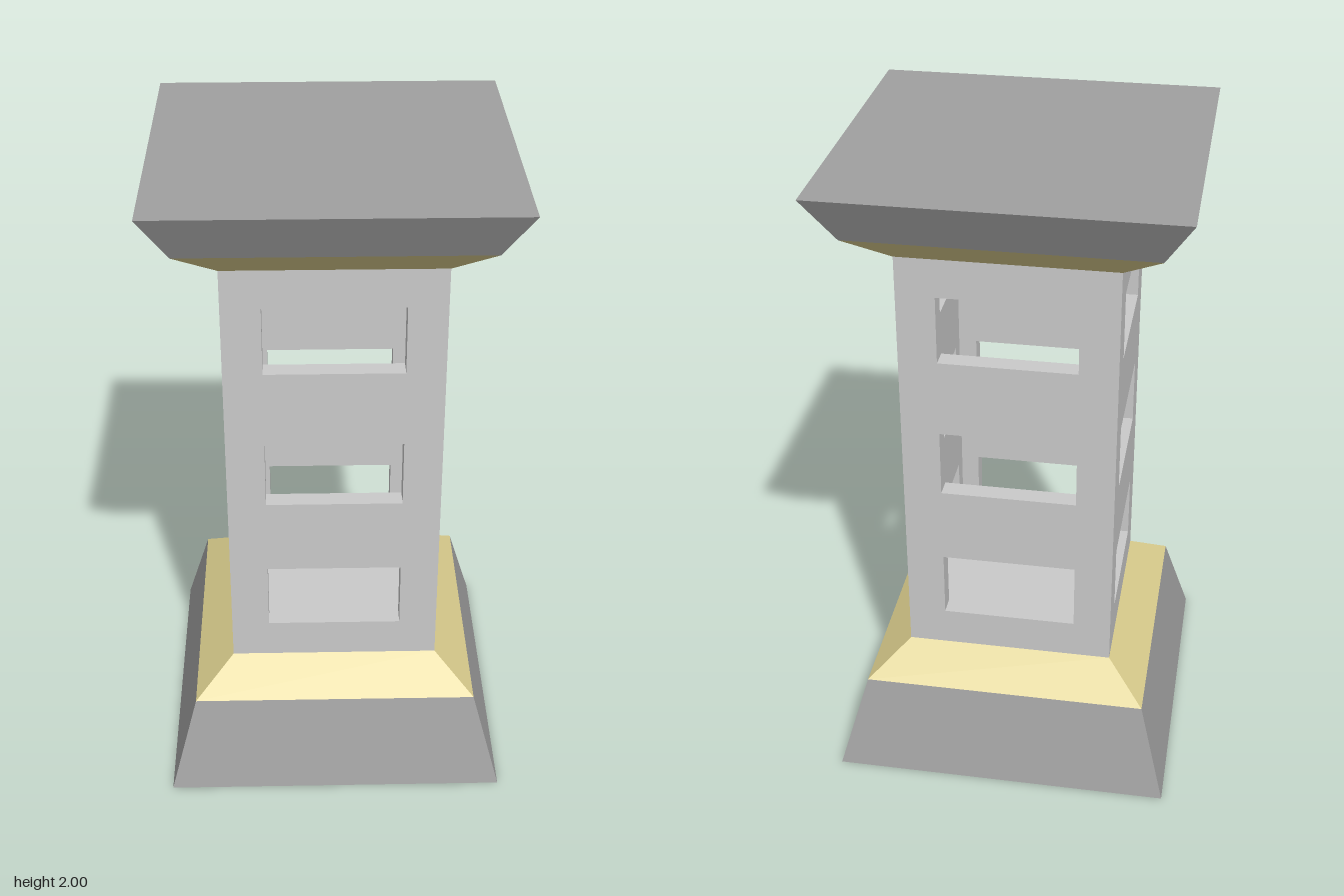
import * as THREE from 'three';

const HALF = 0.325;      // half width of the shaft
const WALL = 0.06;       // wall thickness
const INNER = HALF - WALL;
const BOTTOM = 0.39, TOP = 1.757;
const WINDOWS = [[0.513, 0.727], [0.969, 1.182], [1.424, 1.637]];
const WINDOW_HALF = 0.208;

const material = (name, color) => {
  const m = new THREE.MeshStandardMaterial({ color });
  m.name = name;
  return m;
};

// Square frustum with flat sides, given half widths at both ends
function frustum(name, lowHalf, highHalf, y0, y1, mat) {
  const geo = new THREE.CylinderGeometry(highHalf * Math.SQRT2, lowHalf * Math.SQRT2, y1 - y0, 4)
    .rotateY(Math.PI / 4).translate(0, (y0 + y1) / 2, 0).toNonIndexed();
  geo.computeVertexNormals();
  const mesh = new THREE.Mesh(geo, mat);
  mesh.name = name;
  return mesh;
}

const rectangle = (path, w, y0, y1) =>
  path.moveTo(-w, y0).lineTo(w, y0).lineTo(w, y1).lineTo(-w, y1).closePath();

// Wall with three windows, mitred at the corners
function wallGeometry() {
  const shape = rectangle(new THREE.Shape(), HALF, BOTTOM, TOP);
  for (const [y0, y1] of WINDOWS) shape.holes.push(rectangle(new THREE.Path(), WINDOW_HALF, y0, y1));
  const geo = new THREE.ExtrudeGeometry(shape, { depth: WALL, bevelEnabled: false });
  geo.translate(0, 0, INNER);
  const p = geo.attributes.position;
  for (let i = 0; i < p.count; i++) {
    if (p.getZ(i) < INNER + 0.01 && Math.abs(p.getX(i)) > HALF - 0.01) {
      p.setX(i, Math.sign(p.getX(i)) * INNER);
    }
  }
  geo.computeVertexNormals();
  return geo;
}

export function createModel() {
  const stone = material('dark stone', 0xa0a0a0);
  const pale = material('pale stone', 0xcacaca);
  const sand = material('sand trim', 0xd9cc8c);
  const model = new THREE.Group();
  model.name = 'tower';

  // Base and flared top
  model.add(
    frustum('base', 0.528, 0.445, 0, 0.295, stone),
    frustum('baseTrim', 0.445, HALF, 0.295, BOTTOM, sand),
    frustum('topTrim', HALF, 0.445, TOP, 1.853, sand),
    frustum('topSlab', 0.445, 0.528, 1.853, 2, stone),
  );

  // Hollow shaft
  const shaft = new THREE.Group();
  shaft.name = 'shaft';
  const wall = wallGeometry();
  ['front', 'left', 'back', 'right'].forEach((side, i) => {
    const mesh = new THREE.Mesh(wall, pale);
    mesh.name = side + 'Wall';
    mesh.rotation.y = i * Math.PI / 2;
    shaft.add(mesh);
  });

  // Floor and ceiling level with the lowest sill and highest lintel
  shaft.add(
    frustum('floor', INNER, INNER, BOTTOM, WINDOWS[0][0], pale),
    frustum('ceiling', INNER, INNER, WINDOWS[2][1], TOP, pale),
  );
  model.add(shaft);
  return model;
}
